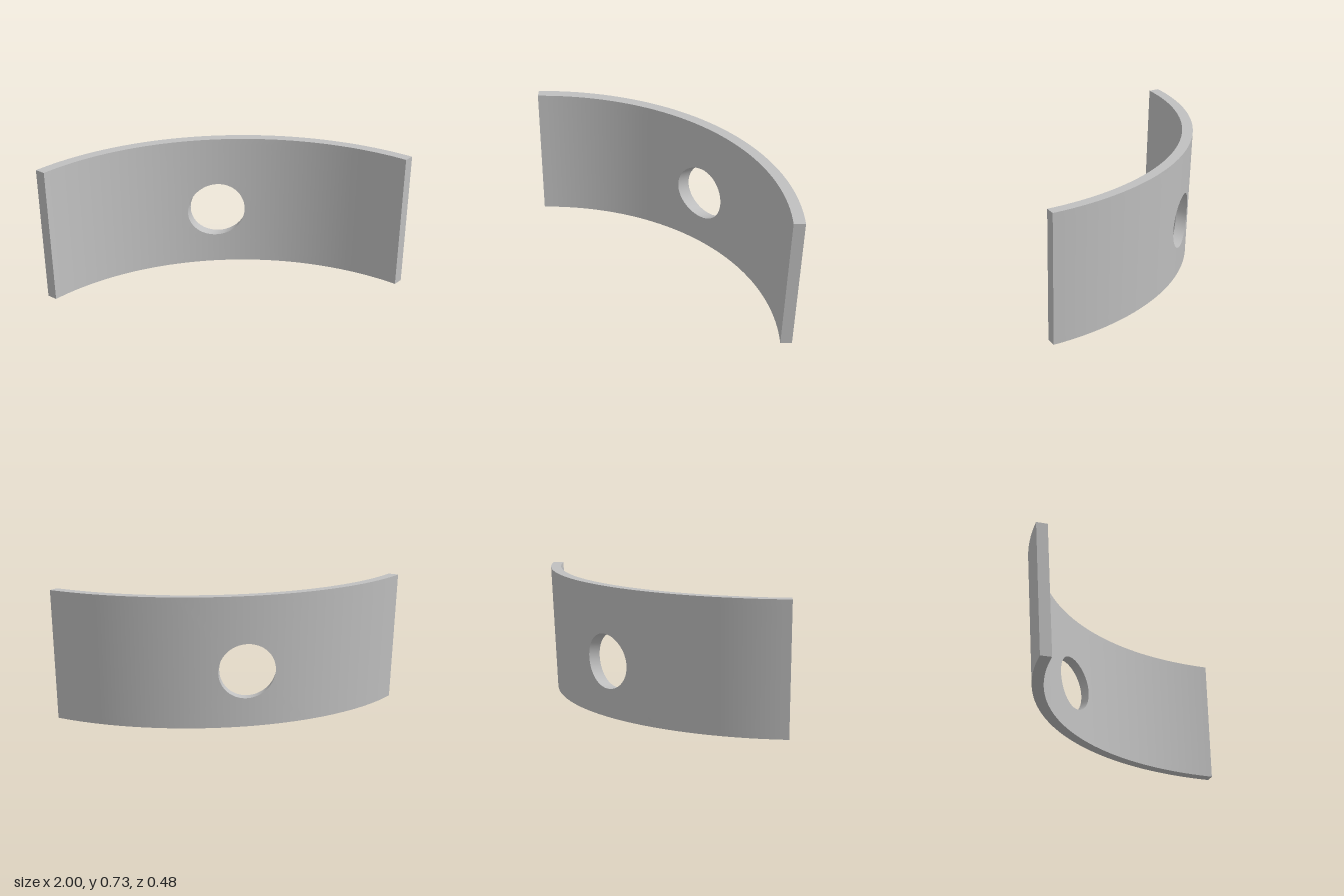
import * as THREE from 'three';
import { mergeGeometries, toCreasedNormals } from 'three/addons/utils/BufferGeometryUtils.js';

const H = 0.73;             // height
const WALL = 0.06;          // wall thickness
const CZ = 1.174;           // z of the cone axis
const HALF = Math.PI / 4;   // half the arc
const PATCH = HALF / 3;     // half-width of the area around the hole
const SIDE = 16;            // segments per patch side

// Outer radius grows slightly with height; depth 0 = outer skin, WALL = inner skin
const radius = (y, depth) => 1.379 + 0.035 * (y / H) - depth;

function onCone(theta, y, depth) {
  const r = radius(y, depth);
  return [r * Math.sin(theta), y, CZ - r * Math.cos(theta)];
}

// Rim of the slanted round hole on either skin, as [theta, y]
const TILT = THREE.MathUtils.degToRad(18);
const HOLE = { r: 0.1525, p: -0.0706, y: 0.3135 };
function holeRim(t, depth) {
  const phi = -0.75 * Math.PI + t * 2 * Math.PI;
  const c = Math.cos(TILT), s = Math.sin(TILT);
  const y = HOLE.y + HOLE.r * Math.sin(phi);
  const p = HOLE.p + HOLE.r * Math.cos(phi);
  const q = -CZ * c + Math.sqrt(radius(y, depth) ** 2 - (p - CZ * s) ** 2);
  return [Math.atan2(p * c + q * s, CZ - (p * s - q * c)), y];
}

// Rectangle around the hole, walked counter-clockwise from lower left
function patchBorder(t) {
  const k = (t * 4) % 4, side = Math.floor(k), f = k - side;
  const [u, v] = [[f, 0], [1, f], [1 - f, 1], [0, 1 - f]][side];
  return [(2 * u - 1) * PATCH, v * H];
}

// Grid surface from a point rule f(u, v); flip reverses the facing
function surface(f, nu, nv, flip = false) {
  const pos = [], index = [];
  for (let j = 0; j <= nv; j++) for (let i = 0; i <= nu; i++) pos.push(...f(i / nu, j / nv));
  for (let j = 0; j < nv; j++) {
    for (let i = 0; i < nu; i++) {
      const a = j * (nu + 1) + i, b = a + 1, d = a + nu + 1, c = d + 1;
      index.push(...(flip ? [a, c, b, a, d, c] : [a, b, c, a, c, d]));
    }
  }
  const g = new THREE.BufferGeometry();
  g.setAttribute('position', new THREE.Float32BufferAttribute(pos, 3));
  g.setIndex(index);
  return g;
}

export function createModel() {
  const grey = new THREE.MeshStandardMaterial({ color: 0xc0c0c0 });
  grey.name = 'plain grey';
  const parts = [];
  const lerp = THREE.MathUtils.lerp;

  // Inner and outer skins: area around the hole plus two plain flanks
  for (const depth of [0, WALL]) {
    const flip = depth === 0;
    parts.push(surface((t, v) => {
      const a = patchBorder(t), b = holeRim(t, depth);
      return onCone(lerp(a[0], b[0], v), lerp(a[1], b[1], v), depth);
    }, 4 * SIDE, 8, flip));
    for (const start of [-HALF, PATCH]) {
      parts.push(surface((u, v) => onCone(start + u * 2 * PATCH, v * H, depth), SIDE, SIDE, flip));
    }
  }

  // Top and bottom edges
  for (const y of [0, H]) {
    parts.push(surface((u, v) => onCone((2 * u - 1) * HALF, y, WALL * (1 - v)), 3 * SIDE, 1, y === 0));
  }

  // End faces
  for (const s of [-1, 1]) {
    parts.push(surface((u, v) => onCone(s * HALF, v * H, WALL * (1 - u)), 1, SIDE, s < 0));
  }

  // Wall of the hole
  parts.push(surface((t, v) => {
    const depth = v === 0 ? WALL : 0;
    return onCone(...holeRim(t, depth), depth);
  }, 4 * SIDE, 1));

  const shell = new THREE.Mesh(toCreasedNormals(mergeGeometries(parts), 0.6), grey);
  shell.name = 'curvedPlateWithHole';
  const group = new THREE.Group();
  group.name = 'curvedPlate';
  group.add(shell);
  return group;
}
